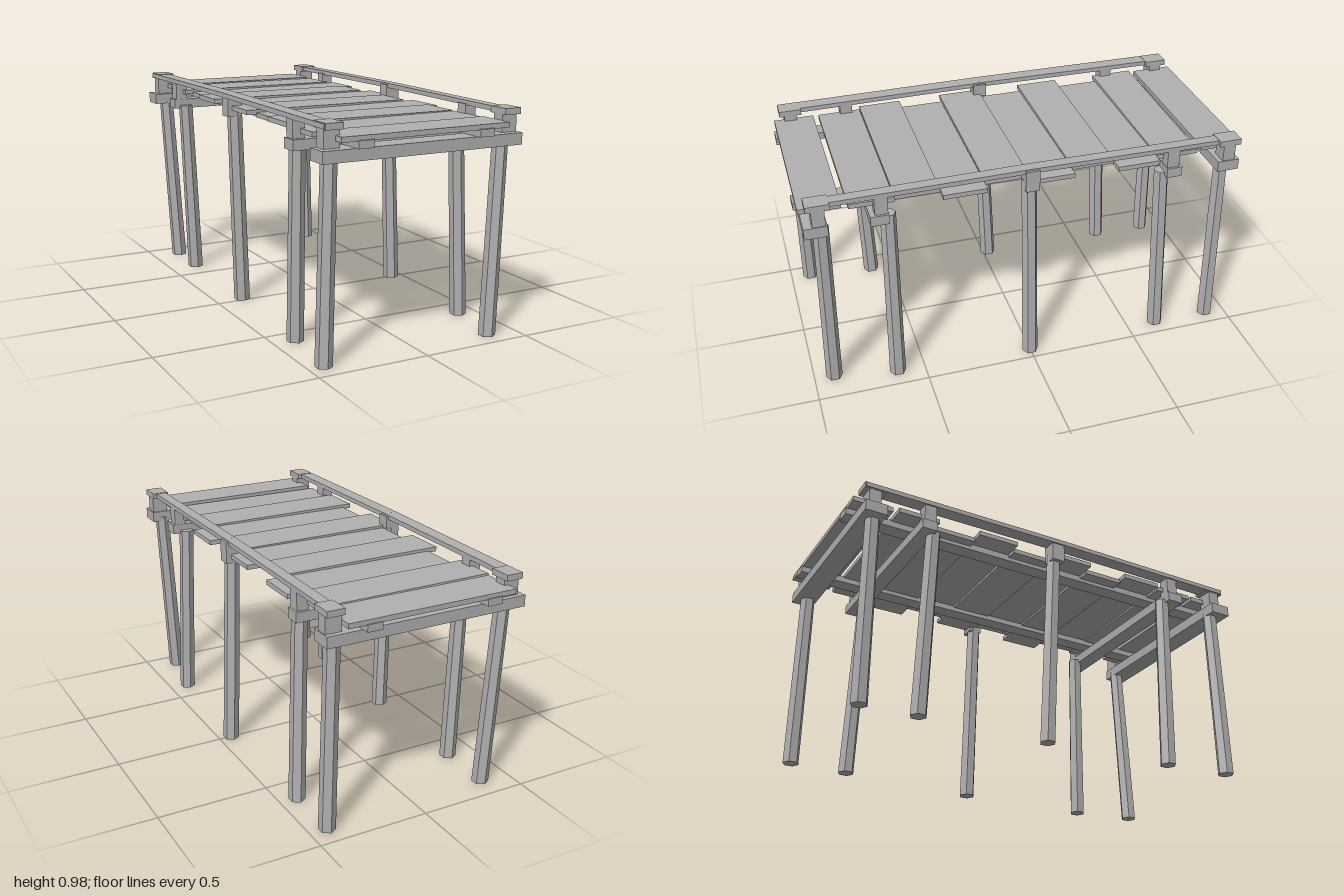
import * as THREE from 'three';

const UP = new THREE.Vector3(0, 1, 0);

export function createModel() {
  const model = new THREE.Group();
  model.name = 'dock';
  const wood = new THREE.MeshStandardMaterial({ color: 0xb0b0b0, flatShading: true });
  wood.name = 'grey wood';

  function add(name, geometry, x, y, z) {
    const mesh = new THREE.Mesh(geometry, wood);
    mesh.name = name;
    mesh.position.set(x, y, z);
    model.add(mesh);
    return mesh;
  }

  // box given by its limits on each axis
  function box(name, x0, x1, y0, y1, z0, z1) {
    return add(name, new THREE.BoxGeometry(x1 - x0, y1 - y0, z1 - z0),
      (x0 + x1) / 2, (y0 + y1) / 2, (z0 + z1) / 2);
  }

  // six-sided leaning piles: foot x, foot z, head x, head z, head height
  const piles = [
    [0.36, 0.91, 0.40, 0.90, 0.85], [-0.43, 0.905, -0.41, 0.905, 0.85],
    [0.41, 0.625, 0.38, 0.615, 0.85], [-0.40, 0.595, -0.40, 0.62, 0.85],
    [0.44, 0.0, 0.405, 0.005, 0.92], [-0.37, -0.025, -0.405, 0.0, 0.92],
    [0.42, -0.64, 0.39, -0.615, 0.85], [-0.365, -0.635, -0.405, -0.615, 0.85],
    [0.42, -0.905, 0.40, -0.90, 0.85], [-0.36, -0.89, -0.405, -0.90, 0.85],
  ];
  for (const [fx, fz, hx, hz, h] of piles) {
    const geo = new THREE.CylinderGeometry(0.034, 0.037, h, 6);
    // shear the upright prism so that its foot stays level
    const p = geo.attributes.position;
    for (let i = 0; i < p.count; i++) {
      const t = p.getY(i) / h + 0.5;
      p.setX(i, p.getX(i) + fx + (hx - fx) * t);
      p.setZ(i, p.getZ(i) + fz + (hz - fz) * t);
    }
    geo.computeVertexNormals();
    add('pile', geo, 0, h / 2, 0);
  }

  // cross beams on the pile heads
  box('crossBeam', -0.475, 0.455, 0.83, 0.88, 0.875, 0.975);
  box('crossBeam', -0.46, 0.445, 0.835, 0.88, 0.62, 0.70);
  box('crossBeam', -0.46, 0.445, 0.835, 0.88, -0.69, -0.62);
  box('crossBeam', -0.475, 0.455, 0.83, 0.88, -0.96, -0.86);

  // stringers under the deck
  box('stringer', -0.33, -0.26, 0.88, 0.912, -0.995, 0.995);
  box('stringer', 0.23, 0.30, 0.88, 0.912, -0.995, 0.995);

  // end planks, set apart from the main deck by a gap
  box('endPlank', -0.40, 0.38, 0.908, 0.93, 0.805, 0.985);
  box('endPlank', -0.40, 0.38, 0.908, 0.93, -0.99, -0.805);

  // main deck planks: left end, right end, lift
  const planks = [
    [-0.415, 0.39, 0.000], [-0.375, 0.43, -0.008], [-0.42, 0.37, 0.002], [-0.38, 0.425, -0.007],
    [-0.43, 0.375, 0.001], [-0.385, 0.43, -0.008], [-0.425, 0.38, 0.002], [-0.415, 0.39, -0.005],
  ];
  const pitch = 1.565 / planks.length;
  planks.forEach(([x0, x1, lift], i) => {
    const z = -0.785 + i * pitch;
    const plank = box('deckPlank', x0, x1, 0.906 + lift, 0.927 + lift,
      z + 0.001, z + pitch - 0.001);
    plank.rotation.z = (i % 2 ? 1 : -1) * 0.004;
  });

  // rail blocks and two-piece rails along each side
  for (const side of [-1, 1]) {
    const x = side * 0.415;
    for (const z of [-0.91, 0.91]) {
      box('cornerRailBlock', x - 0.036, x + 0.036, 0.87, 0.962, z - 0.028, z + 0.028);
      box('cornerRailCap', x - 0.038, x + 0.04, 0.955, 0.982, z - 0.05, z + 0.05);
    }
    for (const z of [-0.65, 0.65]) {
      box('railBlock', x - 0.035, x + 0.02, 0.87, 0.966, z - 0.028, z + 0.028);
    }
    box('middleRailPost', x - 0.035, x + 0.033, 0.88, 0.978, -0.03, 0.032);

    const railX = side < 0 ? -0.425 : 0.412;
    const halfWidth = side < 0 ? 0.032 : 0.025;
    for (const end of [-1, 1]) {
      const rail = box('rail', railX - halfWidth, railX + halfWidth, 0.961, 0.982,
        Math.min(0, end * 0.955), Math.max(0, end * 0.955));
      rail.rotation.x = end * 0.006;
    }
  }
  return model;
}
